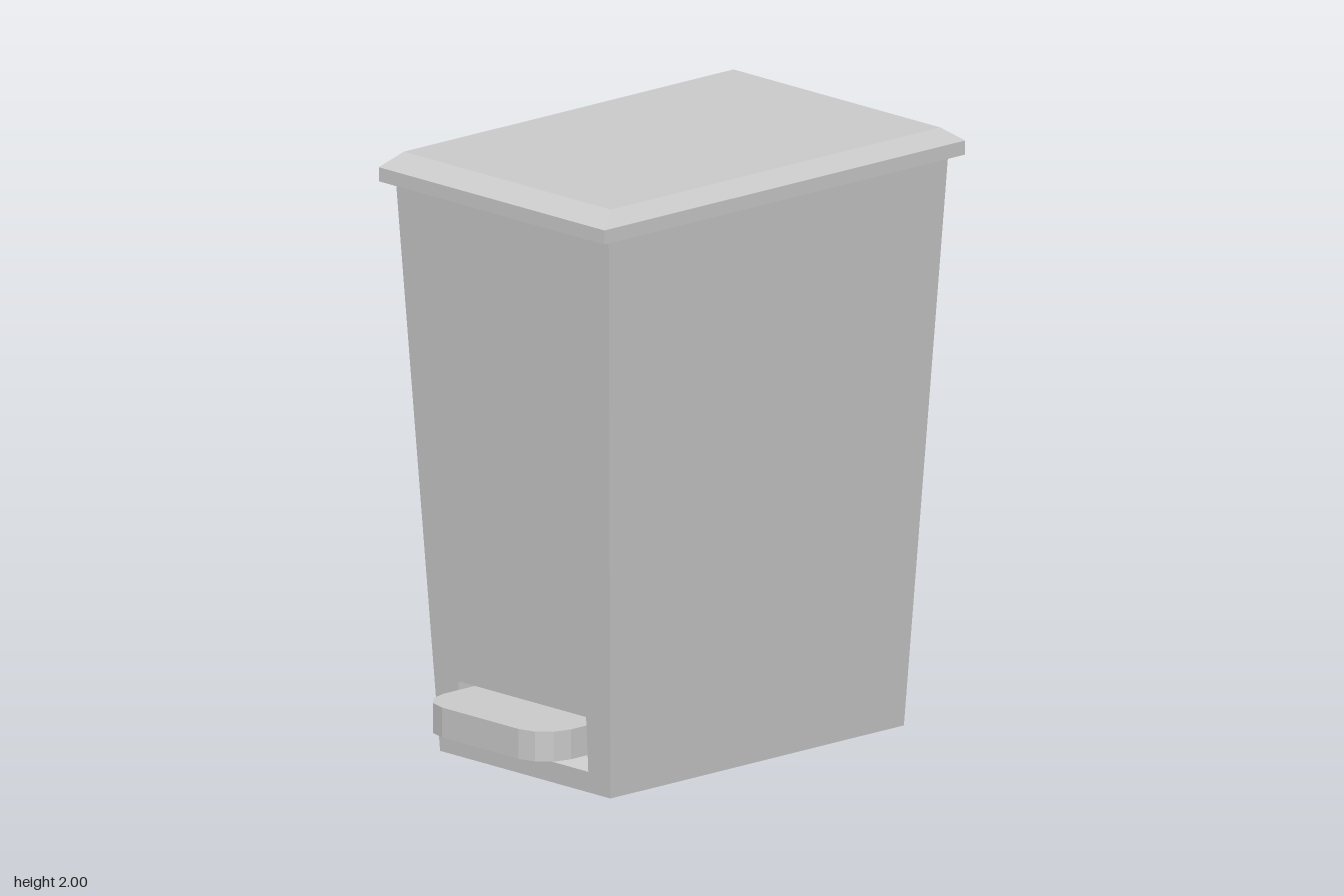
import * as THREE from 'three';

const grey = new THREE.MeshStandardMaterial({ color: 0xcccccc });
const Z0 = -0.013; // depth centre of bin and lid

// Flat-shaded geometry from four-cornered faces
function fromQuads(quads) {
  const pos = [];
  for (const [a, b, c, d] of quads) pos.push(...a, ...b, ...c, ...a, ...c, ...d);
  const g = new THREE.BufferGeometry();
  g.setAttribute('position', new THREE.Float32BufferAttribute(pos, 3));
  g.computeVertexNormals();
  return g;
}

// Stack of rectangles [halfX, halfZ, y] joined into a closed solid
function loft(levels, openFront = false) {
  const rings = levels.map(([x, z, y]) => [
    [x, y, Z0 + z], [x, y, Z0 - z], [-x, y, Z0 - z], [-x, y, Z0 + z],
  ]);
  const quads = [[...rings[0]].reverse(), rings[rings.length - 1]];
  for (let k = 0; k + 1 < rings.length; k++) {
    const lo = rings[k], hi = rings[k + 1];
    for (let i = 0; i < (openFront ? 3 : 4); i++) {
      const j = (i + 1) % 4;
      quads.push([lo[i], lo[j], hi[j], hi[i]]);
    }
  }
  return fromQuads(quads);
}

export function createModel() {
  const model = new THREE.Group();
  const add = (parent, name, geometry) => {
    const mesh = new THREE.Mesh(geometry, grey);
    mesh.name = name;
    parent.add(mesh);
    return mesh;
  };

  // Tapered bin, with its front panel cut for the pedal
  const H = 1.91;
  const bottom = { x: 0.4, z: 0.65 }, top = { x: 0.5, z: 0.752 };
  const frontZ = (y) => Z0 + bottom.z + ((top.z - bottom.z) * y) / H;
  const body = new THREE.Group();
  body.name = 'body';
  model.add(body);
  add(body, 'bodyShell', loft([[bottom.x, bottom.z, 0], [top.x, top.z, H]], true));

  const rx = 0.3, y0 = 0.07, y1 = 0.255, backZ = 0.54;
  const panel = new THREE.Shape([
    [-bottom.x, 0], [bottom.x, 0], [top.x, H], [-top.x, H],
  ].map((p) => new THREE.Vector2(...p)));
  panel.holes.push(new THREE.Path([
    [-rx, y0], [-rx, y1], [rx, y1], [rx, y0],
  ].map((p) => new THREE.Vector2(...p))));
  const front = new THREE.ShapeGeometry(panel);
  const p = front.attributes.position;
  for (let i = 0; i < p.count; i++) p.setZ(i, frontZ(p.getY(i)));
  front.computeVertexNormals();
  add(body, 'frontPanel', front);

  // Pedal recess with a sloping floor
  const mouth = [[-rx, y0], [rx, y0], [rx, y1], [-rx, y1]].map(([x, y]) => [x, y, frontZ(y)]);
  const back = [[-rx, 0.11], [rx, 0.11], [rx, y1], [-rx, y1]].map(([x, y]) => [x, y, backZ]);
  const recess = [back];
  for (let i = 0; i < 4; i++) {
    const j = (i + 1) % 4;
    recess.push([mouth[i], mouth[j], back[j], back[i]]);
  }
  add(body, 'pedalRecess', fromQuads(recess));

  // Pedal: flat bar with two rounded front corners
  const px = 0.299, pz = 0.836, r = 0.12;
  const outline = [new THREE.Vector2(-px, -backZ), new THREE.Vector2(-px, -pz + r)];
  for (const [cx, start] of [[-px + r, Math.PI], [px - r, 1.5 * Math.PI]]) {
    for (let i = 0; i <= 3; i++) {
      const a = start + (i * Math.PI) / 6;
      outline.push(new THREE.Vector2(cx + r * Math.cos(a), -pz + r + r * Math.sin(a)));
    }
  }
  outline.push(new THREE.Vector2(px, -backZ));
  const pedal = new THREE.ExtrudeGeometry(new THREE.Shape(outline), { depth: 0.1, bevelEnabled: false });
  pedal.rotateX(-Math.PI / 2).translate(0, 0.126, 0);
  add(model, 'pedal', pedal);

  // Lid with a vertical rim and bevelled top
  add(model, 'lid', loft([[0.53, 0.799, 1.905], [0.53, 0.799, 1.952], [0.485, 0.73, 2]]));

  // Hinge barrel along the back edge
  const hinge = add(model, 'hinge', new THREE.CylinderGeometry(0.05, 0.05, 0.7, 24));
  hinge.rotation.z = Math.PI / 2;
  hinge.position.set(0, 1.907, -0.786);

  return model;
}
